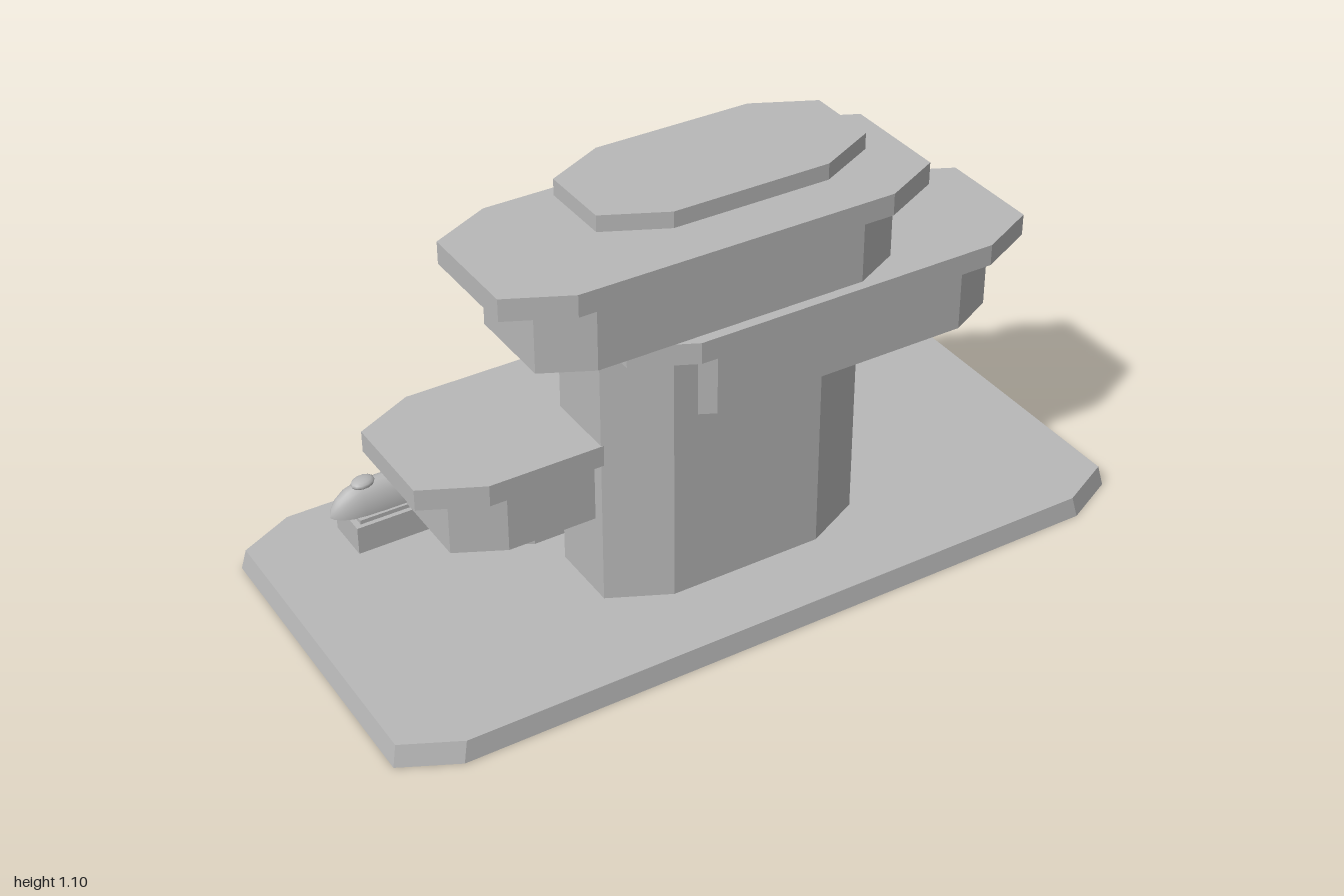
import * as THREE from 'three';

const stone = new THREE.MeshStandardMaterial({ color: 0xb8b8b8 });
stone.name = 'grey';
const stoneShell = new THREE.MeshStandardMaterial({ color: 0xb8b8b8, side: THREE.DoubleSide });
stoneShell.name = 'grey shell';

function add(parent, name, geometry, material = stone) {
  const mesh = new THREE.Mesh(geometry, material);
  mesh.name = name;
  parent.add(mesh);
  return mesh;
}

// Box given by its limits on each axis
function box(parent, name, [x0, x1], [y0, y1], [z0, z1]) {
  const g = new THREE.BoxGeometry(x1 - x0, y1 - y0, z1 - z0);
  g.translate((x0 + x1) / 2, (y0 + y1) / 2, (z0 + z1) / 2);
  return add(parent, name, g);
}

// Rectangle with cut corners, counter-clockwise in (x, -z)
function octagon([x0, x1], [z0, z1], cx, cz) {
  return [
    [x0 + cx, -z1], [x1 - cx, -z1], [x1, -z1 + cz], [x1, -z0 - cz],
    [x1 - cx, -z0], [x0 + cx, -z0], [x0, -z0 - cz], [x0, -z1 + cz],
  ].map(([x, y]) => new THREE.Vector2(x, y));
}

function prism(parent, name, xs, [y0, y1], zs, cx, cz) {
  const shape = new THREE.Shape(octagon(xs, zs, cx, cz));
  const g = new THREE.ExtrudeGeometry(shape, { depth: y1 - y0, bevelEnabled: false });
  g.rotateX(-Math.PI / 2).translate(0, y0, 0);
  return add(parent, name, g);
}

// Hollow plinth with slightly sloping sides, open underneath
function buildBase(parent) {
  const low = octagon([-1, 1], [-0.485, 0.485], 0.14, 0.07);
  const high = octagon([-0.988, 0.988], [-0.477, 0.477], 0.14, 0.07);
  const top = new THREE.ShapeGeometry(new THREE.Shape(high));
  top.rotateX(-Math.PI / 2).translate(0, 0.055, 0);
  add(parent, 'baseTop', top, stoneShell);
  const pos = [];
  low.forEach((a, i) => {
    const j = (i + 1) % low.length;
    const A = [a.x, 0, -a.y], B = [low[j].x, 0, -low[j].y];
    const C = [high[j].x, 0.055, -high[j].y], D = [high[i].x, 0.055, -high[i].y];
    pos.push(...A, ...B, ...C, ...A, ...C, ...D);
  });
  const side = new THREE.BufferGeometry();
  side.setAttribute('position', new THREE.Float32BufferAttribute(pos, 3));
  side.computeVertexNormals();
  add(parent, 'baseSides', side, stoneShell);
}

// Overhanging storey: body, roof slab and window posts at the back
function buildStorey(parent, name, t) {
  const storey = new THREE.Group();
  storey.name = name;
  prism(storey, name + 'Body', t.bodyX, [t.y, t.roof], t.bodyZ, 0.12, 0.06);
  prism(storey, name + 'Roof', t.roofX, [t.roof, t.roof + 0.055], t.roofZ, 0.15, 0.073);
  const mid = (t.bodyX[0] + t.bodyX[1]) / 2;
  for (const dx of t.posts) {
    const x = mid + dx, z = t.bodyZ[0];
    box(storey, 'windowPost', [x - 0.013, x + 0.013], [t.y + 0.01, t.roof - 0.015], [z - 0.009, z + 0.005]);
  }
  parent.add(storey);
}

// Entrance block with door, frame and step
function buildEntrance(parent) {
  const g = new THREE.Group();
  g.name = 'entrance';
  prism(g, 'porch', [-0.43, 0.21], [0.055, 0.32], [-0.325, -0.062], 0.05, 0.03);
  const c = -0.11;
  box(g, 'doorPanel', [c - 0.12, c + 0.12], [0.062, 0.25], [-0.331, -0.32]);
  for (const s of [-1, 1]) {
    const x = c + s * 0.147;
    box(g, 'doorPost', [x - 0.014, x + 0.014], [0.055, 0.27], [-0.34, -0.32]);
  }
  box(g, 'lintel', [c - 0.168, c + 0.168], [0.27, 0.297], [-0.348, -0.32]);
  box(g, 'doorKnob', [c - 0.092, c - 0.07], [0.145, 0.167], [-0.341, -0.33]);
  box(g, 'doorStep', [c - 0.15, c + 0.15], [0.025, 0.063], [-0.36, -0.3]);
  parent.add(g);
}

// Tilted lectern carrying an open book with raised dots
function buildBook(parent) {
  // stand with a sloping top
  const standShape = new THREE.Shape([[0.24, 0.055], [0.335, 0.055], [0.335, 0.185], [0.24, 0.24]]
    .map(([x, y]) => new THREE.Vector2(x, y)));
  const standGeo = new THREE.ExtrudeGeometry(standShape, { depth: 0.17, bevelEnabled: false });
  standGeo.rotateY(Math.PI / 2).translate(0.345, 0, 0);
  add(parent, 'bookStand', standGeo);

  const book = new THREE.Group();
  book.name = 'openBook';
  book.position.set(0.43, 0.2325, -0.285);
  book.rotation.x = -0.61;
  box(book, 'lectern', [-0.22, 0.22], [0, 0.011], [-0.073, 0.073]);
  box(book, 'lecternLip', [-0.22, 0.22], [0, 0.02], [-0.08, -0.073]);
  box(book, 'spine', [-0.012, 0.012], [0.009, 0.018], [-0.07, 0.07]);
  const dot = new THREE.SphereGeometry(0.0035, 6, 4);
  for (const s of [-1, 1]) {
    const half = new THREE.Group();
    half.name = s > 0 ? 'leftHalf' : 'rightHalf';
    half.position.y = 0.011;
    half.rotation.z = s * 0.12;
    const span = (a, b) => (s > 0 ? [a, b] : [-b, -a]);
    box(half, 'cover', span(0.004, 0.22), [0, 0.006], [-0.073, 0.073]);
    box(half, 'pages', span(0.006, 0.21), [0.006, 0.018], [-0.066, 0.066]);
    for (let row = 0; row < 3; row++) {
      for (let i = 0; i < 5; i++) {
        add(half, 'raisedDot', dot)
          .position.set(s * (0.045 + i * 0.03), 0.018, -0.036 + row * 0.036 + (i % 2) * 0.008);
      }
    }
    book.add(half);
  }
  parent.add(book);
}

// Long scored loaf lying on a plain block
function buildLoaf(parent) {
  const g = new THREE.Group();
  g.name = 'loafDisplay';
  box(g, 'loafPlinth', [-0.76, -0.43], [0.05, 0.13], [-0.373, -0.25]);
  box(g, 'loafTray', [-0.745, -0.42], [0.13, 0.141], [-0.362, -0.262]);
  const half = [[0, -0.215], [0.3, -0.209], [0.6, -0.193], [0.84, -0.168], [0.96, -0.135], [1, -0.08]];
  const full = [...half, ...half.map(([r, t]) => [r, -t]).reverse()];
  const geo = new THREE.LatheGeometry(full.map(([r, t]) => new THREE.Vector2(r, t)), 12, 0, Math.PI);
  geo.rotateZ(Math.PI / 2).scale(1, 0.076, 0.043).translate(-0.587, 0.14, -0.312);
  add(g, 'loaf', geo, stoneShell);
  const bump = new THREE.SphereGeometry(1, 12, 8).scale(0.033, 0.013, 0.024);
  for (let i = 0; i < 4; i++) {
    const m = add(g, 'loafScore', bump);
    m.position.set(-0.71 + i * 0.095, 0.212, -0.312);
    m.rotation.y = 0.25;
  }
  parent.add(g);
}

export function createModel() {
  const model = new THREE.Group();
  model.name = 'terracedBuilding';
  buildBase(model);
  prism(model, 'tower', [-0.343, 0.36], [0.055, 1.098], [-0.053, 0.28], 0.15, 0.073);
  buildStorey(model, 'lowerStorey', {
    y: 0.27, roof: 0.44, posts: [-0.23, 0, 0.23],
    bodyX: [-0.69, 0.23], bodyZ: [-0.166, 0.175], roofX: [-0.78, 0.32], roofZ: [-0.202, 0.21],
  });
  buildStorey(model, 'middleStorey', {
    y: 0.548, roof: 0.723, posts: [-0.23, 0, 0.23],
    bodyX: [-0.21, 0.71], bodyZ: [-0.048, 0.3], roofX: [-0.303, 0.797], roofZ: [-0.083, 0.333],
  });
  buildStorey(model, 'upperStorey', {
    y: 0.83, roof: 1.002, posts: [],
    bodyX: [-0.56, 0.365], bodyZ: [0.025, 0.375], roofX: [-0.652, 0.448], roofZ: [-0.01, 0.408],
  });
  buildEntrance(model);
  buildBook(model);
  buildLoaf(model);
  return model;
}
